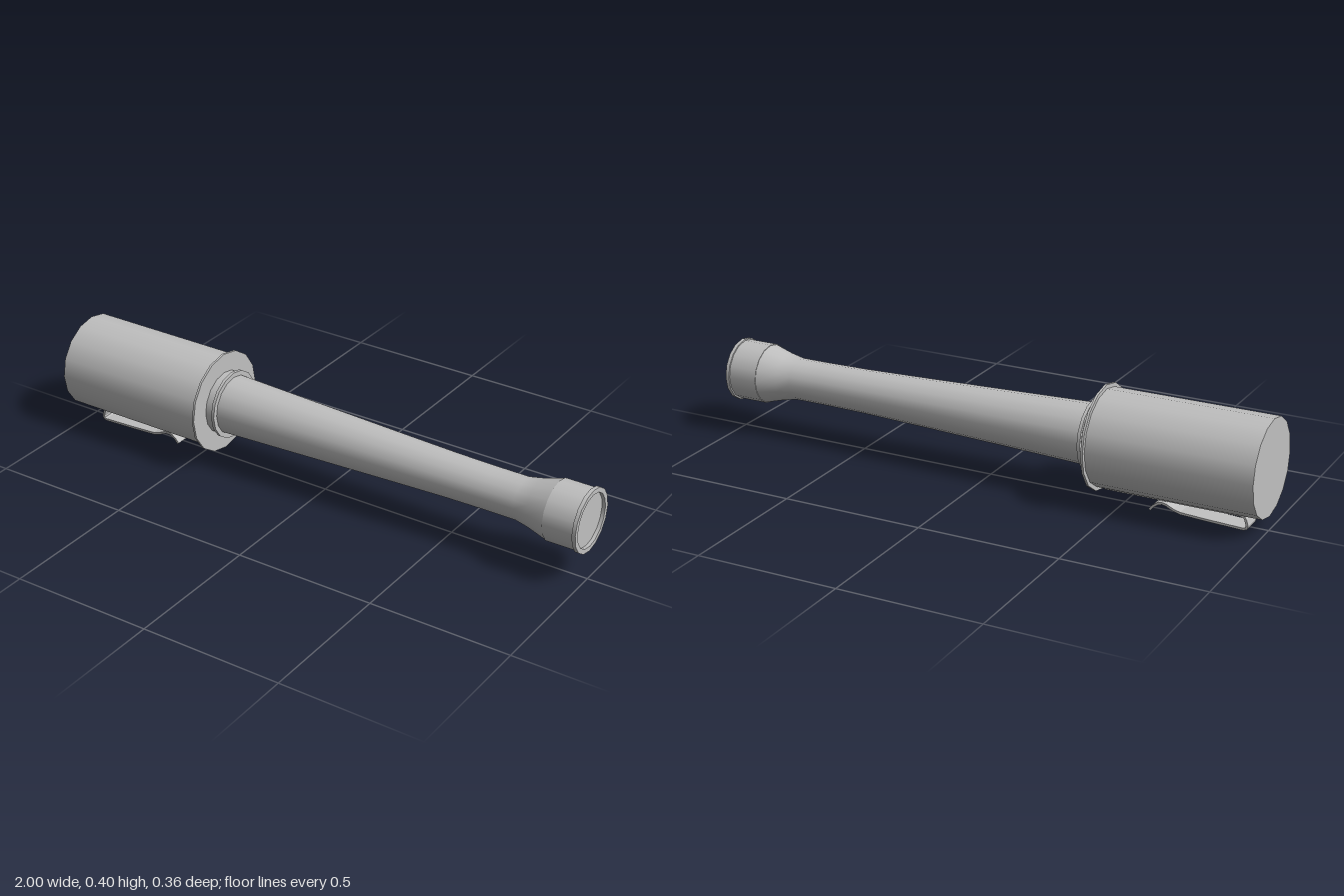
import * as THREE from 'three';
import { mergeGeometries } from 'three/addons/utils/BufferGeometryUtils.js';

const AXIS_Y = 0.217;
const SIDES = 16;

export function createModel() {
  const model = new THREE.Group();
  const steel = new THREE.MeshStandardMaterial({ color: 0xc0c0c0 });
  steel.name = 'grey';

  // Turned part along x: each run is smooth, edges between runs stay sharp.
  // Points are [x, radius], listed from the left end to the right end.
  function turned(name, ...runs) {
    const parts = runs.map((run) =>
      new THREE.LatheGeometry(run.map(([x, r]) => new THREE.Vector2(r, x)), SIDES));
    const geometry = mergeGeometries(parts);
    geometry.rotateZ(-Math.PI / 2);
    geometry.translate(0, AXIS_Y, 0);
    const mesh = new THREE.Mesh(geometry, steel);
    mesh.name = name;
    model.add(mesh);
  }

  // Closed drum between x0 and x1
  function drum(name, x0, x1, r) {
    turned(name, [[x0, 0], [x0, r]], [[x0, r], [x1, r]], [[x1, r], [x1, 0]]);
  }

  drum('head', -1, -0.42, 0.167);
  drum('headFlange', -0.425, -0.417, 0.181);
  drum('collar', -0.417, -0.385, 0.112);
  drum('collarRing', -0.387, -0.376, 0.122);

  // Tapered handle flaring out at the far end
  turned('handle', [
    [-0.376, 0.105], [0, 0.092], [0.3, 0.082], [0.5, 0.076],
    [0.65, 0.074], [0.76, 0.074], [0.81, 0.084], [0.88, 0.104],
  ]);

  // End cap with a raised rim around a shallow recess
  turned('endCap',
    [[0.88, 0.104], [0.88, 0.106]],
    [[0.88, 0.106], [0.987, 0.106]],
    [[0.987, 0.106], [0.987, 0.111]],
    [[0.987, 0.111], [1, 0.111]],
    [[1, 0.111], [1, 0.094]],
    [[1, 0.094], [0.988, 0.094]],
    [[0.988, 0.094], [0.988, 0]]);

  // Bent belt clip: a flat strip folded back under the head
  const path = [
    [-0.44, 0.051], [-0.915, 0.051], [-0.928, 0.047], [-0.934, 0.038],
    [-0.94, 0.018], [-0.938, 0.009], [-0.928, 0.005], [-0.8, 0.01],
    [-0.71, 0.015], [-0.685, 0.022], [-0.66, 0.034], [-0.645, 0.037],
    [-0.63, 0.033], [-0.615, 0.022], [-0.602, 0.007],
  ].map(([x, y]) => new THREE.Vector2(x, y));
  const half = 0.004;
  const offset = (side) => path.map((p, i) => {
    const a = path[Math.max(i - 1, 0)];
    const b = path[Math.min(i + 1, path.length - 1)];
    const t = b.clone().sub(a).normalize();
    return new THREE.Vector2(p.x - t.y * half * side, p.y + t.x * half * side);
  });
  const outline = new THREE.Shape([...offset(1), ...offset(-1).reverse()]);
  const clipGeometry = new THREE.ExtrudeGeometry(outline, { depth: 0.074, bevelEnabled: false });
  clipGeometry.translate(0, 0, -0.037);
  const clip = new THREE.Mesh(clipGeometry, steel);
  clip.name = 'beltClip';
  model.add(clip);

  return model;
}
